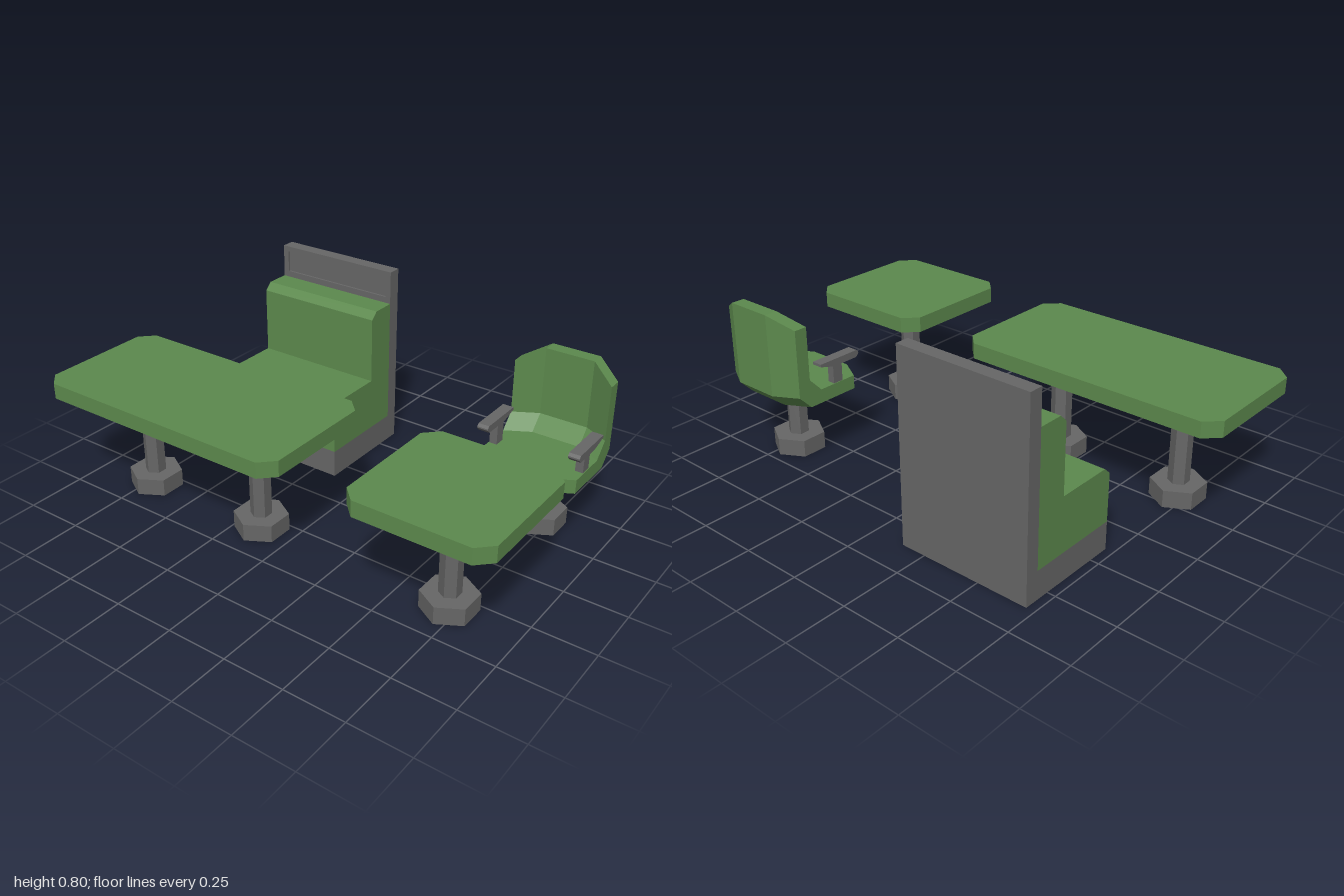
import * as THREE from 'three';

const green = new THREE.MeshStandardMaterial({ color: 0x5c894d, flatShading: true });
green.name = 'green';
const grey = new THREE.MeshStandardMaterial({ color: 0x666666, flatShading: true });
grey.name = 'grey';
const greyOpen = grey.clone();
greyOpen.name = 'grey';
greyOpen.side = THREE.DoubleSide;

const toShape = (pts) => new THREE.Shape(pts.map(([x, y]) => new THREE.Vector2(x, y)));

function add(parent, name, geometry, material, x = 0, y = 0, z = 0) {
  const mesh = new THREE.Mesh(geometry, material);
  mesh.name = name;
  mesh.position.set(x, y, z);
  parent.add(mesh);
  return mesh;
}

function addBox(parent, name, material, [x0, x1], [y0, y1], [z0, z1]) {
  return add(parent, name, new THREE.BoxGeometry(x1 - x0, y1 - y0, z1 - z0), material,
    (x0 + x1) / 2, (y0 + y1) / 2, (z0 + z1) / 2);
}

// Extrudes a (z, y) profile along x, centred on x = 0
function sideExtrude(profile, width) {
  const g = new THREE.ExtrudeGeometry(toShape(profile), { depth: width, bevelEnabled: false });
  return g.translate(0, 0, -width / 2).rotateY(-Math.PI / 2);
}

// Hexagonal pole on a hexagonal foot, hollow underneath
function addPedestal(parent, x, z, height) {
  const profile = [[0.11, 0], [0.11, 0.072], [0.043, 0.072], [0.043, height]]
    .map(([r, y]) => new THREE.Vector2(r, y));
  add(parent, 'pedestal', new THREE.LatheGeometry(profile, 6), greyOpen, x, 0, z);
}

// Table with clipped corners
function makeTable(name, width, x, legs) {
  const table = new THREE.Group();
  table.name = name;
  const w = width / 2, d = 0.285, c = 0.057;
  const top = toShape([[-w + c, -d], [w - c, -d], [w, -d + c], [w, d - c],
    [w - c, d], [-w + c, d], [-w, d - c], [-w, -d + c]]);
  const g = new THREE.ExtrudeGeometry(top, { depth: 0.065, bevelEnabled: false }).rotateX(-Math.PI / 2);
  add(table, 'tableTop', g, green, 0, 0.449, 0);
  legs.forEach((lx) => addPedestal(table, lx, 0, 0.45));
  table.position.set(x, 0, 0.326);
  return table;
}

function makeBooth() {
  const booth = new THREE.Group();
  booth.name = 'boothSeat';
  const h = 0.285;
  addBox(booth, 'boothBase', grey, [-h, h], [0, 0.117], [-0.557, -0.158]);
  addBox(booth, 'backPanel', grey, [-h, h], [0, 0.795], [-0.613, -0.565]);

  // Front skin of the panel with a shallow recess near the top
  const face = toShape([[-h, 0], [h, 0], [h, 0.795], [-h, 0.795]]);
  const hole = [[-0.26, 0.68], [-0.26, 0.772], [0.26, 0.772], [0.26, 0.68]];
  face.holes.push(new THREE.Path(hole.map(([x, y]) => new THREE.Vector2(x, y))));
  const skin = new THREE.ExtrudeGeometry(face, { depth: 0.009, bevelEnabled: false });
  add(booth, 'panelFrame', skin, grey, 0, 0, -0.565);

  // Padded bench and backrest
  const cushion = [[-0.158, 0.117], [-0.158, 0.315], [-0.188, 0.343], [-0.424, 0.343],
    [-0.424, 0.624], [-0.455, 0.654], [-0.557, 0.654], [-0.557, 0.117]];
  add(booth, 'boothCushion', sideExtrude(cushion, 2 * h), green);
  booth.position.x = -0.43;
  return booth;
}

// Chair shell lofted across x: the outer sections sit further forward and lower at the top
function shellGeometry() {
  const section = (x) => {
    const outer = Math.abs(x) > 0.15;
    const s = outer ? 0.056 : 0, top = outer ? 0.62 : 0.676;
    const front = outer ? -0.213 : -0.158;
    return [[front, 0.276], [front, 0.334], [-0.444 + s, 0.334], [-0.5 + s, 0.394],
      [-0.5 + s, top], [-0.556 + s, top], [-0.556 + s, 0.334], [-0.5 + s, 0.276]];
  };
  const xs = [-0.2, -0.1, 0.1, 0.2], n = 8;
  const positions = [], index = [];
  xs.forEach((x) => section(x).forEach(([z, y]) => positions.push(x, y, z)));
  for (let i = 0; i < 3; i++) {
    for (let j = 0; j < n; j++) {
      const k = (j + 1) % n;
      const a = i * n + j, b = a + n, c = (i + 1) * n + k, d = i * n + k;
      index.push(a, b, c, a, c, d);
    }
  }
  // End caps
  const rim = section(0.2).map(([z, y]) => new THREE.Vector2(z, y));
  THREE.ShapeUtils.triangulateShape(rim, []).forEach(([a, b, c]) => {
    index.push(a, b, c, 3 * n + a, 3 * n + c, 3 * n + b);
  });
  const g = new THREE.BufferGeometry();
  g.setAttribute('position', new THREE.Float32BufferAttribute(positions, 3));
  g.setIndex(index);
  const flat = g.toNonIndexed();
  flat.computeVertexNormals();
  return flat;
}

function makeChair() {
  const chair = new THREE.Group();
  chair.name = 'chair';
  add(chair, 'chairShell', shellGeometry(), green);
  addPedestal(chair, 0, -0.356, 0.277);
  const arm = [[-0.205, 0.416], [-0.192, 0.43], [-0.192, 0.436], [-0.201, 0.446],
    [-0.393, 0.446], [-0.393, 0.435], [-0.325, 0.416]];
  for (const side of [-1, 1]) {
    add(chair, 'armrest', sideExtrude(arm, 0.046), grey, side * 0.188);
    add(chair, 'armPost', new THREE.BoxGeometry(0.032, 0.086, 0.046), grey, side * 0.181, 0.375, -0.295);
  }
  chair.position.x = 0.713;
  return chair;
}

export function createModel() {
  const model = new THREE.Group();
  model.name = 'diningSet';
  model.add(
    makeTable('longTable', 1.14, -0.43, [-0.285, 0.285]),
    makeTable('smallTable', 0.57, 0.715, [0]),
    makeBooth(),
    makeChair(),
  );
  return model;
}
